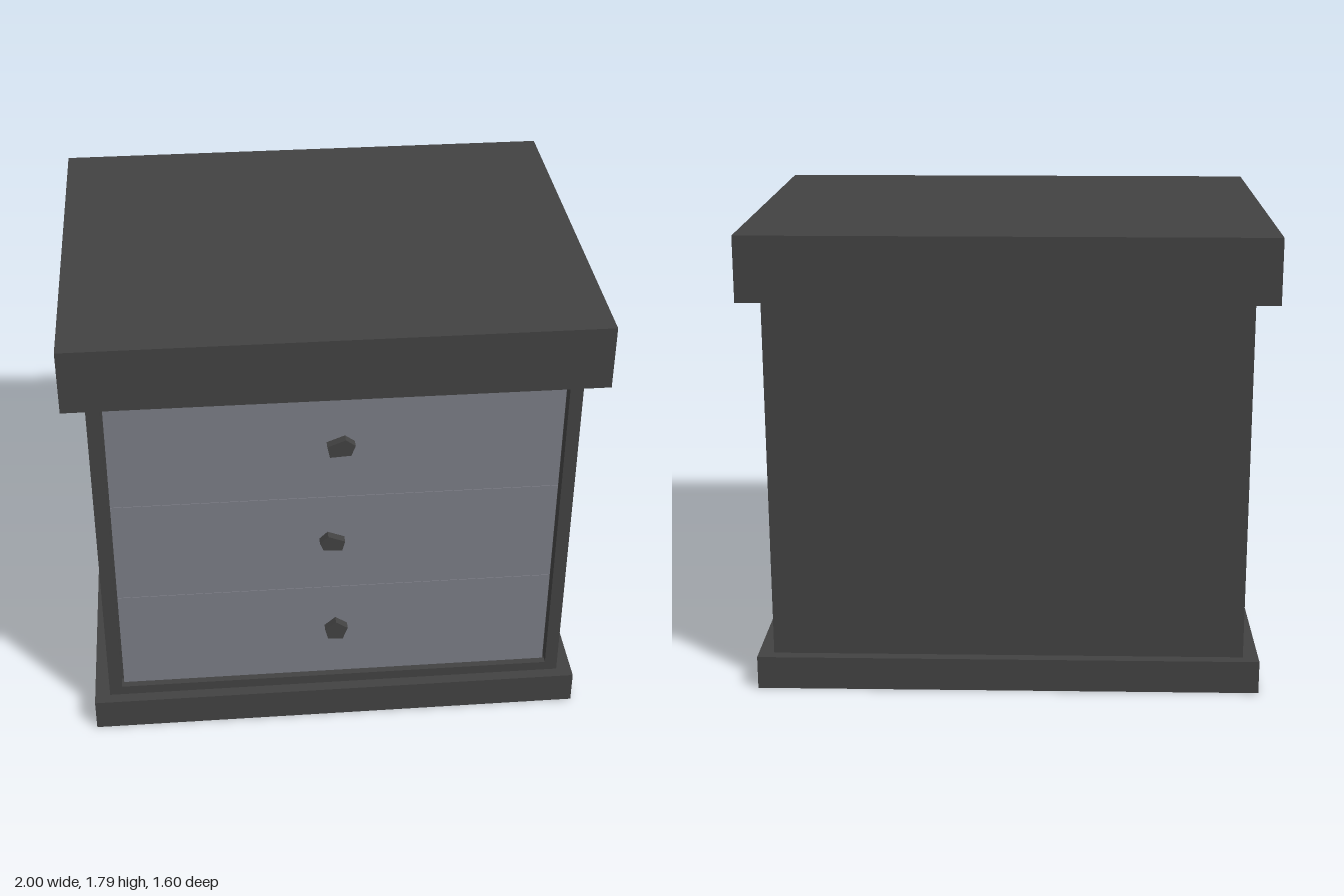
import * as THREE from 'three';

const dark = new THREE.MeshStandardMaterial({ color: 0x424242 });
const slate = new THREE.MeshStandardMaterial({ color: 0x7a7c85 });

export function createModel() {
  const group = new THREE.Group();
  const add = (name, geometry, material, x = 0, y = 0, z = 0) => {
    const mesh = new THREE.Mesh(geometry, material);
    mesh.name = name;
    mesh.position.set(x, y, z);
    group.add(mesh);
  };
  // Box given by its bottom and top heights and its back and front depths
  const slab = (name, width, y0, y1, z0, z1, material = dark) =>
    add(name, new THREE.BoxGeometry(width, y1 - y0, z1 - z0), material, 0, (y0 + y1) / 2, (z0 + z1) / 2);
  const outline = (points) => points.map(([x, y]) => new THREE.Vector2(x, y));
  const rect = (hw, y0, y1) => outline([[-hw, y0], [hw, y0], [hw, y1], [-hw, y1]]);

  // Plinth, cabinet and thick overhanging top
  slab('plinth', 1.95, 0, 0.13, -0.78, 0.78);
  slab('cabinet', 1.83, 0.13, 1.54, -0.735, 0.685);
  slab('top', 2, 1.54, 1.79, -0.8, 0.8);

  // Face frame around the drawer opening
  const frame = new THREE.Shape(rect(0.915, 0.13, 1.54));
  frame.holes.push(new THREE.Path(rect(0.865, 0.17, 1.5)));
  add('faceFrame', new THREE.ExtrudeGeometry(frame, { depth: 0.05, bevelEnabled: false }), dark, 0, 0, 0.685);

  // Three slightly recessed drawer fronts with hairline joints
  const bottom = 0.18, pitch = 1.31 / 3;
  for (let i = 0; i < 3; i++) {
    const y = bottom + i * pitch;
    slab('drawer' + (i + 1), 1.71, y + 0.001, y + pitch - 0.001, 0.685, 0.72, slate);
  }

  // Rough-cut five-sided knobs, bottom to top, each slightly different
  const knobs = [
    [[-0.032, 0.379], [0.027, 0.375], [0.047, 0.428], [0, 0.46], [-0.043, 0.422]],
    [[-0.05, 0.823], [0.022, 0.82], [0.033, 0.862], [-0.032, 0.888], [-0.064, 0.857]],
    [[-0.027, 1.257], [0.053, 1.262], [0.069, 1.305], [0.032, 1.332], [-0.037, 1.305]],
  ];
  knobs.forEach((points, i) => {
    const geometry = new THREE.ExtrudeGeometry(new THREE.Shape(outline(points)), { depth: 0.04, bevelEnabled: false });
    add('knob' + (i + 1), geometry, dark, 0, 0, 0.714);
  });

  return group;
}
